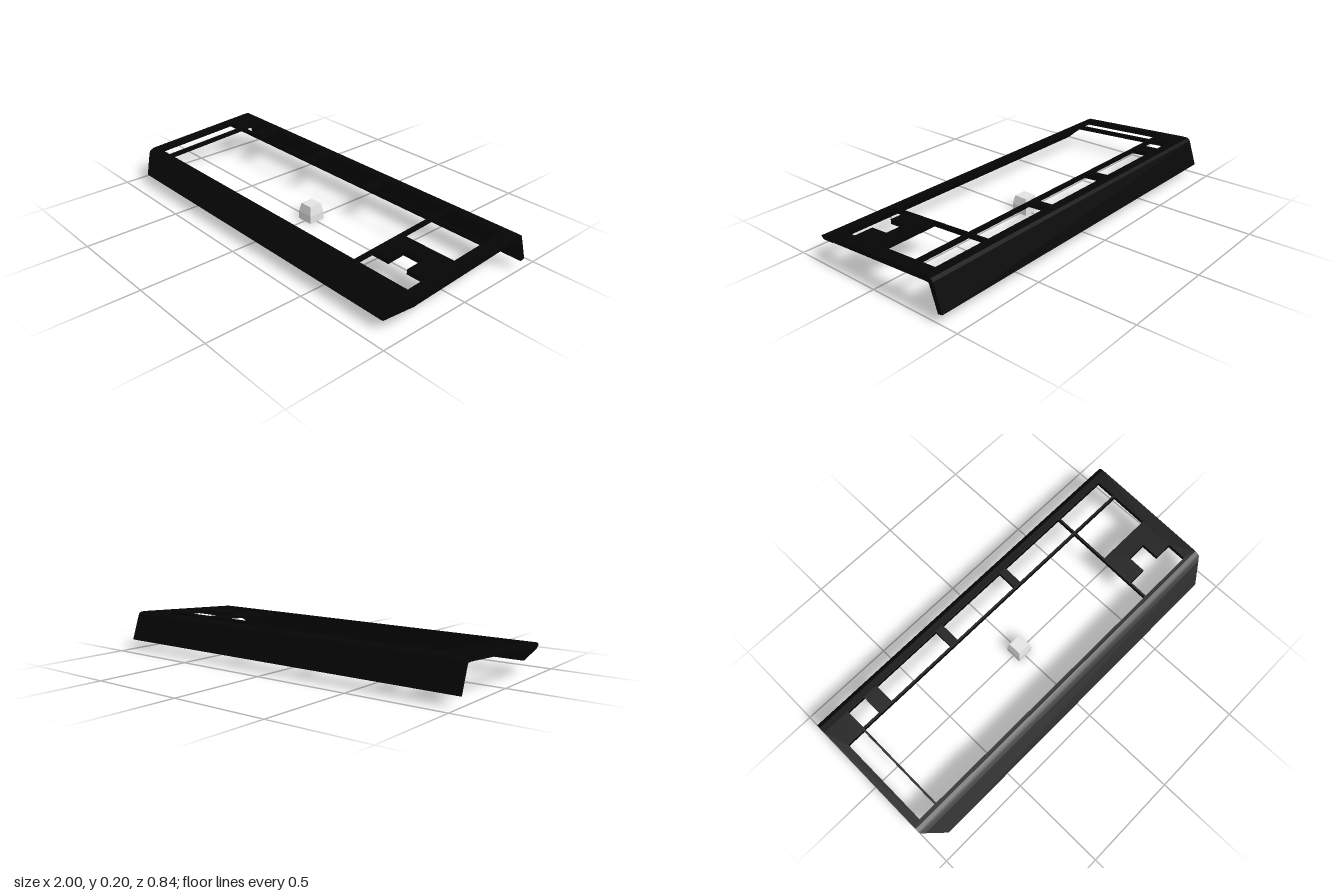
import * as THREE from 'three';

const SLOPE = -0.062; // rise of the top plate towards the back
const THICK = 0.024;
const topY = (z) => 0.1774 + SLOPE * z;

// Moves each vertex by a rule
function deform(geo, rule) {
  const p = geo.attributes.position;
  const v = new THREE.Vector3();
  for (let i = 0; i < p.count; i++) {
    v.fromBufferAttribute(p, i);
    rule(v);
    p.setXYZ(i, v.x, v.y, v.z);
  }
  geo.computeVertexNormals();
  return geo;
}

// Extrudes a [z, y] side profile across the full width
function acrossWidth(points) {
  const shape = new THREE.Shape(points.map(([z, y]) => new THREE.Vector2(z, y)));
  const geo = new THREE.ExtrudeGeometry(shape, { depth: 2, bevelEnabled: false });
  return geo.rotateY(-Math.PI / 2).translate(1, 0, 0);
}

// Closed outline from [x, z] corners, for a plate lying flat
const outline = (pts) => pts.map(([x, z]) => new THREE.Vector2(x, -z));
const rect = (x0, x1, z0, z1) => [[x0, z0], [x1, z0], [x1, z1], [x0, z1]];

export function createModel() {
  const model = new THREE.Group();
  const black = new THREE.MeshStandardMaterial({ color: 0x050505 });
  black.name = 'matte black';
  const grey = new THREE.MeshStandardMaterial({ color: 0xe4e4e4 });
  grey.name = 'light grey';

  const add = (name, geo, mat) => {
    const mesh = new THREE.Mesh(geo, mat);
    mesh.name = name;
    model.add(mesh);
  };

  // Sloping top plate with its windows (outer edge runs counter to the holes)
  const zBack = -0.32, zFront = 0.313;
  const plate = new THREE.Shape(outline(rect(-1, 1, zFront, zBack)));
  const windows = [
    rect(-0.957, -0.861, -0.195, 0.294), // left strip
    rect(-0.851, 0.615, -0.198, 0.294), // main field
    rect(0.626, 0.927, -0.198, 0.004), // right block
    // arrow cluster
    [[0.626, 0.192], [0.722, 0.192], [0.722, 0.097], [0.829, 0.097],
      [0.829, 0.192], [0.927, 0.192], [0.927, 0.294], [0.626, 0.294]],
    // back row
    ...[[-0.851, -0.749], [-0.668, -0.273], [-0.225, 0.176], [0.219, 0.615], [0.626, 0.927]]
      .map(([a, b]) => rect(a, b, -0.315, -0.21)),
  ];
  for (const w of windows) plate.holes.push(new THREE.Path(outline(w)));
  const plateGeo = new THREE.ExtrudeGeometry(plate, { depth: THICK, bevelEnabled: false });
  plateGeo.rotateX(-Math.PI / 2);
  add('topPlate', deform(plateGeo, (v) => { v.y += topY(v.z) - THICK; }), black);

  // Folded front lip, its corners cut square to the sheet
  const front = acrossWidth([
    [zFront, topY(zFront)], [zFront, topY(zFront) - THICK],
    [0.327, 0.127], [0.334, 0.121], [0.404, 0.043],
    [0.42, 0.057], [0.355, 0.129], [0.34, 0.143], [0.332, 0.149],
  ]);
  add('frontLip', deform(front, (v) => {
    const along = 0.68 * v.z - 0.73 * v.y; // distance down the lip
    v.x = Math.sign(v.x) * (1 - 0.098 * THREE.MathUtils.clamp((along - 0.125) / 0.118, 0, 1));
  }), black);

  // Folded back wall
  add('backWall', acrossWidth([
    [zBack, topY(zBack)], [-0.352, 0.198], [-0.363, 0.196], [-0.371, 0.191], [-0.376, 0.183],
    [-0.421, 0.051], [-0.396, 0.045], [-0.354, 0.168], [-0.35, 0.173], [zBack, topY(zBack) - THICK],
  ]), black);

  // Single key cap under the main field: straight skirt, tapered top
  const r = Math.SQRT2;
  const capProfile = [[0, 0], [0.044, 0], [0.044, 0.042], [0.035, 0.088], [0, 0.088]]
    .map(([x, y]) => new THREE.Vector2(x * r, y));
  const cap = new THREE.LatheGeometry(capProfile, 4, Math.PI / 4).toNonIndexed();
  cap.computeVertexNormals();
  add('keyCap', cap, grey);

  return model;
}
